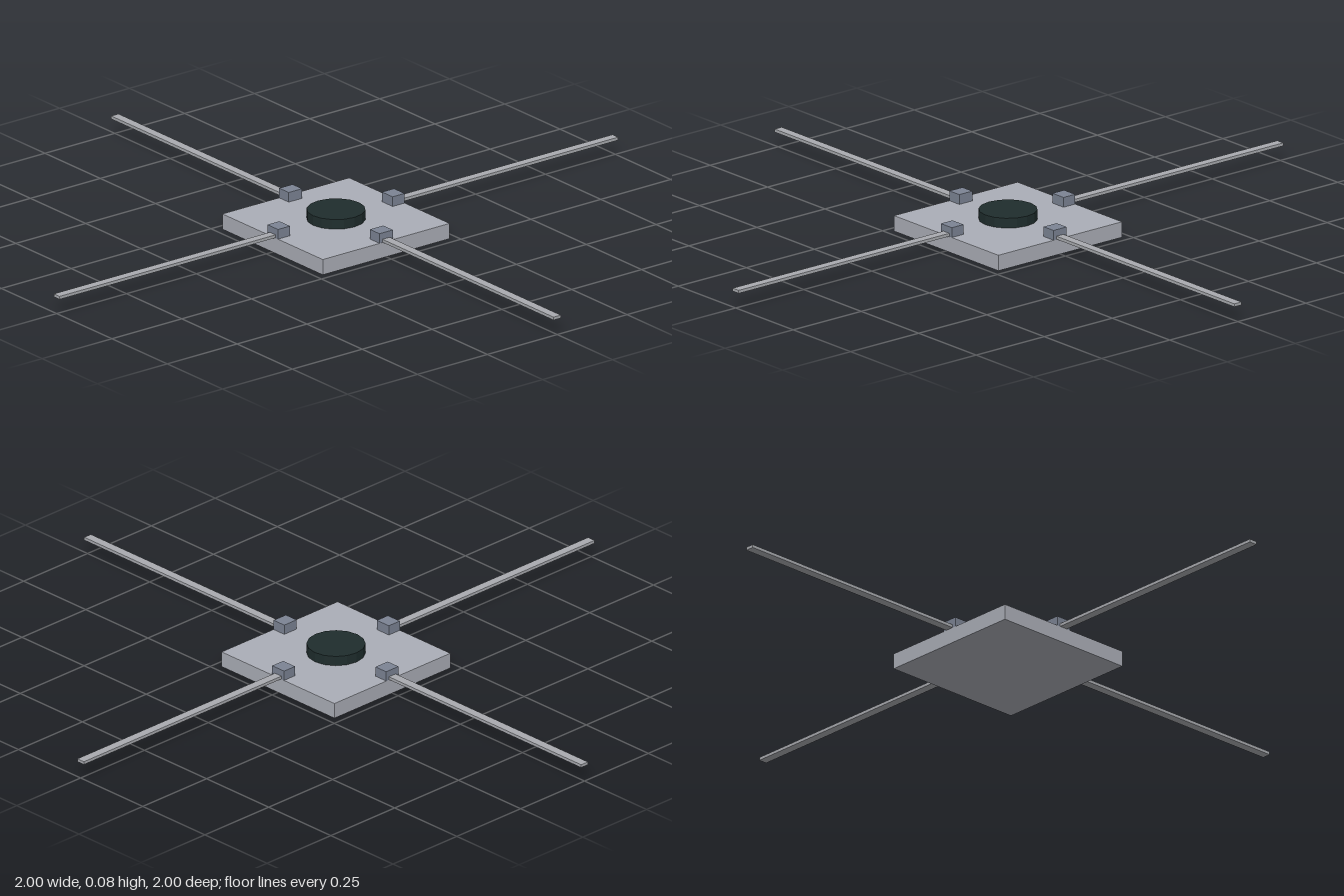
import * as THREE from 'three';

export function createModel() {
  const group = new THREE.Group();
  const bodyGrey = new THREE.MeshStandardMaterial({ name: 'bodyGrey', color: 0xabaeb7 });
  const rodGrey = new THREE.MeshStandardMaterial({ name: 'rodGrey', color: 0xa9abb0 });
  const hingeGrey = new THREE.MeshStandardMaterial({ name: 'hingeGrey', color: 0x7c8494 });
  const darkGreen = new THREE.MeshStandardMaterial({ name: 'darkGreen', color: 0x1f2d2d });

  const add = (parent, name, geometry, material, x, y, z) => {
    const mesh = new THREE.Mesh(geometry, material);
    mesh.name = name;
    mesh.position.set(x, y, z);
    parent.add(mesh);
  };

  // Square base plate with a round cap in the middle
  add(group, 'basePlate', new THREE.BoxGeometry(0.454, 0.046, 0.454), bodyGrey, 0, 0.023, 0);
  const disc = new THREE.CylinderGeometry(0.083, 0.083, 0.03, 16).toNonIndexed();
  disc.computeVertexNormals();
  add(group, 'centreDisc', disc, darkGreen, 0, 0.06, 0);

  // Four thin arms, each held by a small block at the plate edge
  const blockGeometry = new THREE.BoxGeometry(0.043, 0.032, 0.048);
  const rodGeometry = new THREE.BoxGeometry(0.79, 0.009, 0.026);
  for (let i = 0; i < 4; i++) {
    const arm = new THREE.Group();
    arm.name = 'arm' + (i + 1);
    arm.rotation.y = i * Math.PI / 2;
    add(arm, 'hingeBlock', blockGeometry, hingeGrey, 0.205, 0.059, 0);
    add(arm, 'rod', rodGeometry, rodGrey, 0.605, 0.051, 0);
    group.add(arm);
  }
  return group;
}
